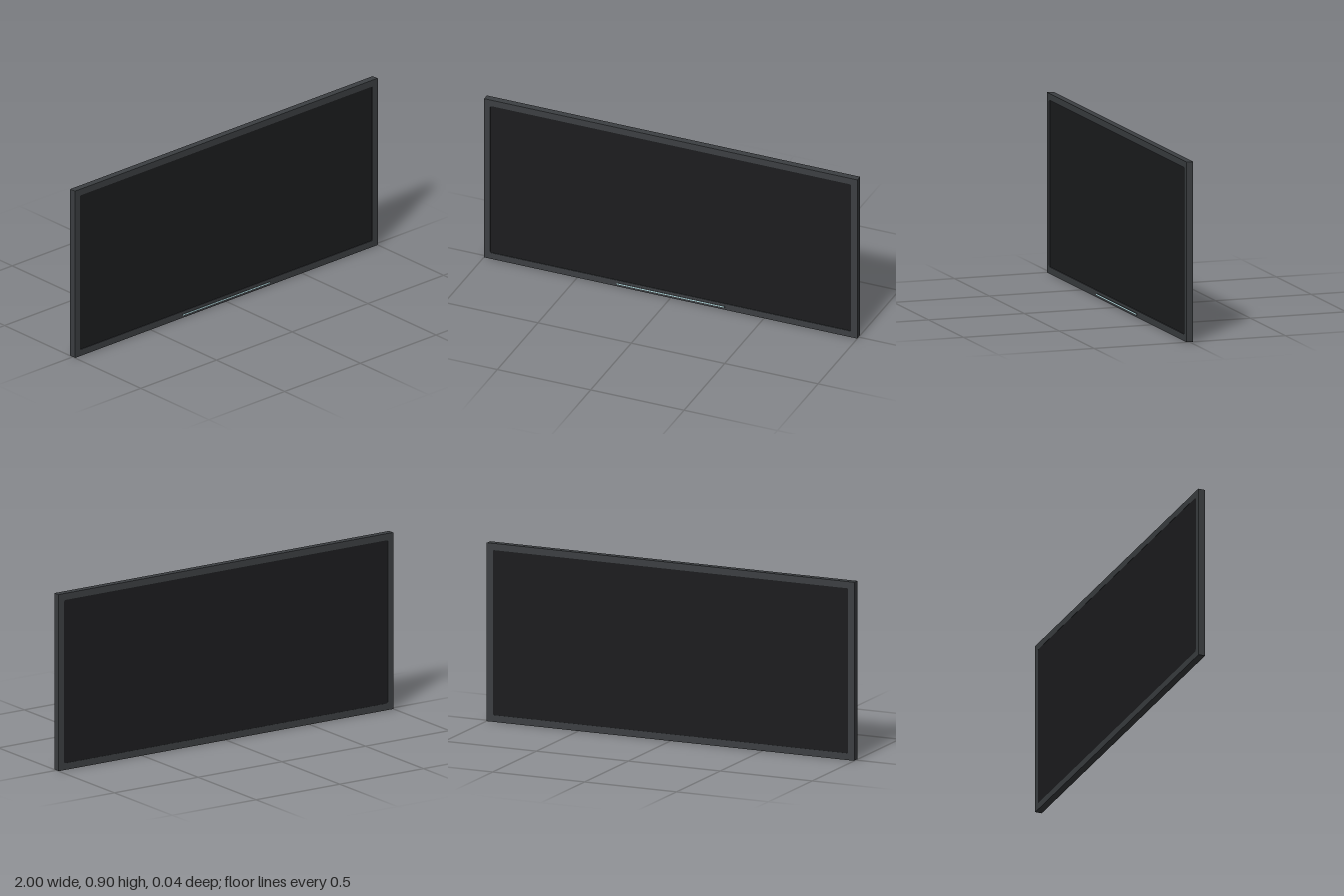
import * as THREE from 'three';

const W = 2, H = 0.9, BORDER = 0.034;
const BACK = -0.018, FRONT = 0.0165;

// Rectangle centred on x = 0 and y = H / 2, with corner radius r
function roundedRect(path, w, h, r) {
  const x = w / 2, y0 = (H - h) / 2, y1 = (H + h) / 2;
  path.moveTo(-x + r, y0);
  path.lineTo(x - r, y0);
  path.quadraticCurveTo(x, y0, x, y0 + r);
  path.lineTo(x, y1 - r);
  path.quadraticCurveTo(x, y1, x - r, y1);
  path.lineTo(-x + r, y1);
  path.quadraticCurveTo(-x, y1, -x, y1 - r);
  path.lineTo(-x, y0 + r);
  path.quadraticCurveTo(-x, y0, -x + r, y0);
  return path;
}

export function createModel() {
  const model = new THREE.Group();
  model.name = 'flatDisplay';

  const frameMat = new THREE.MeshStandardMaterial({ color: 0x3c3f42 });
  const panelMat = new THREE.MeshStandardMaterial({ color: 0x1c1d1f });
  const lightMat = new THREE.MeshStandardMaterial({ color: 0xb4dde2 });

  const add = (name, geometry, material, x, y, z) => {
    const mesh = new THREE.Mesh(geometry, material);
    mesh.name = name;
    mesh.position.set(x, y, z);
    model.add(mesh);
  };

  // Surrounding frame with a slightly rounded opening
  const openW = W - 2 * BORDER, openH = H - 2 * BORDER;
  const outline = roundedRect(new THREE.Shape(), W, H, 0.003);
  outline.holes.push(roundedRect(new THREE.Path(), openW, openH, 0.008));
  add('frame', new THREE.ExtrudeGeometry(outline, {
    depth: FRONT - BACK, bevelEnabled: false, curveSegments: 4,
  }), frameMat, 0, 0, BACK);

  // Dark screen and rear cover, set just inside the frame
  const slab = (depth) => new THREE.BoxGeometry(openW, openH, depth);
  add('screen', slab(0.012), panelMat, 0, H / 2, FRONT - 0.003 - 0.006);
  add('rearCover', slab(0.016), panelMat, 0, H / 2, BACK + 0.001 + 0.008);

  // Indicator strip in a thin housing on the lower border
  add('lightHousing', new THREE.BoxGeometry(0.58, 0.009, 0.003), frameMat, 0, 0.015, FRONT);
  add('lightStrip', new THREE.BoxGeometry(0.576, 0.005, 0.001), lightMat, 0, 0.015, FRONT + 0.0015);

  return model;
}
